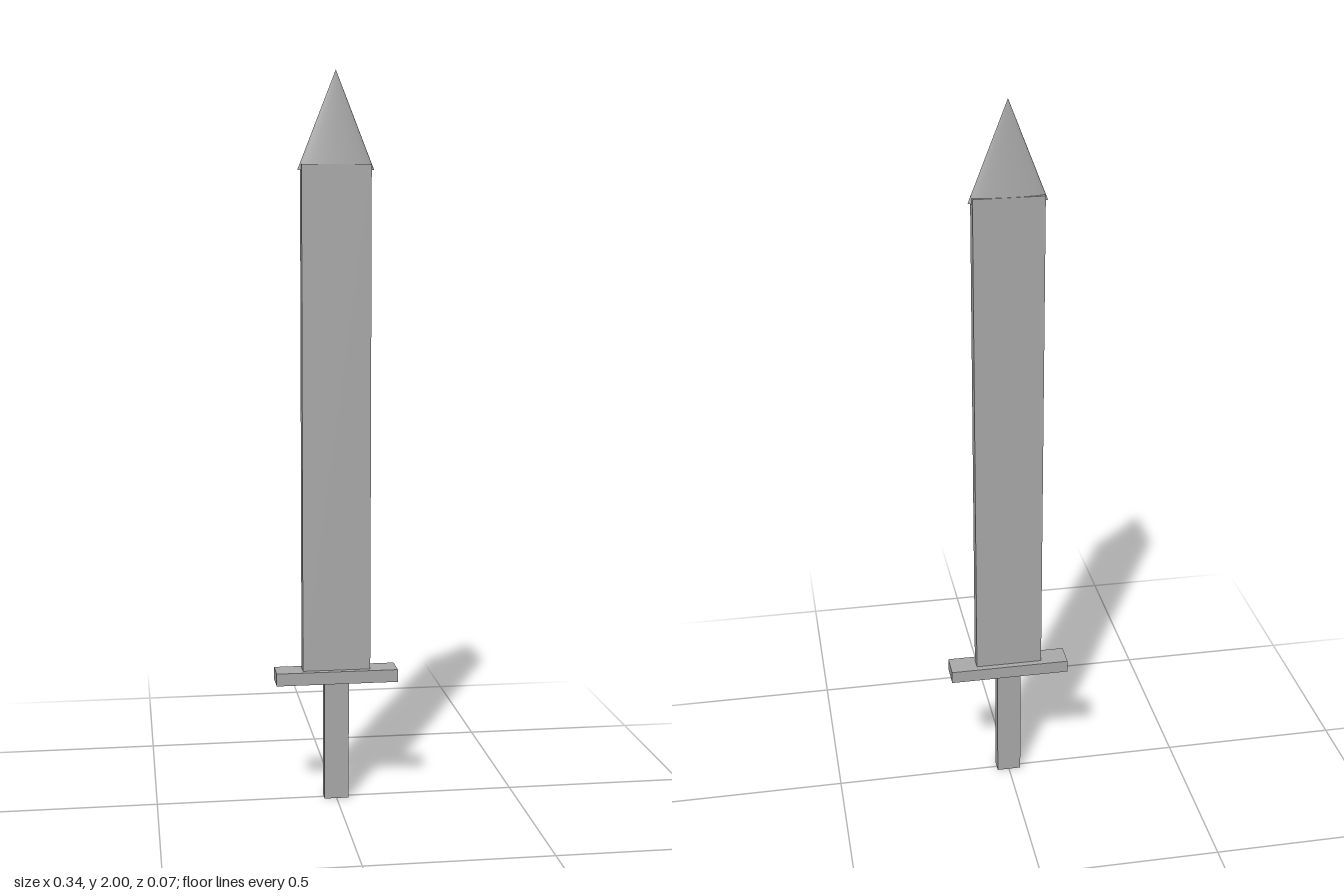
import * as THREE from 'three';

export function createModel() {
  const sword = new THREE.Group();
  sword.name = 'sword';
  const steel = new THREE.MeshStandardMaterial({ color: 0xaaaaaa });
  steel.name = 'grey steel';

  // Box centred on the y axis, spanning bottom to top
  function addBar(name, width, depth, bottom, top) {
    const bar = new THREE.Mesh(new THREE.BoxGeometry(width, top - bottom, depth), steel);
    bar.name = name;
    bar.position.y = (bottom + top) / 2;
    sword.add(bar);
  }

  addBar('grip', 0.068, 0.036, 0, 0.335);
  addBar('crossguard', 0.338, 0.072, 0.335, 0.37);
  addBar('blade', 0.188, 0.037, 0.37, 1.753);

  // Smooth cone flattened front to back, overlapping the blade's end
  const tipBase = 1.738, tipTop = 2;
  const tipGeometry = new THREE.ConeGeometry(0.1035, tipTop - tipBase, 32);
  tipGeometry.scale(1, 1, 0.018 / 0.1035);
  const tip = new THREE.Mesh(tipGeometry, steel);
  tip.name = 'bladeTip';
  tip.position.y = (tipBase + tipTop) / 2;
  sword.add(tip);

  return sword;
}
